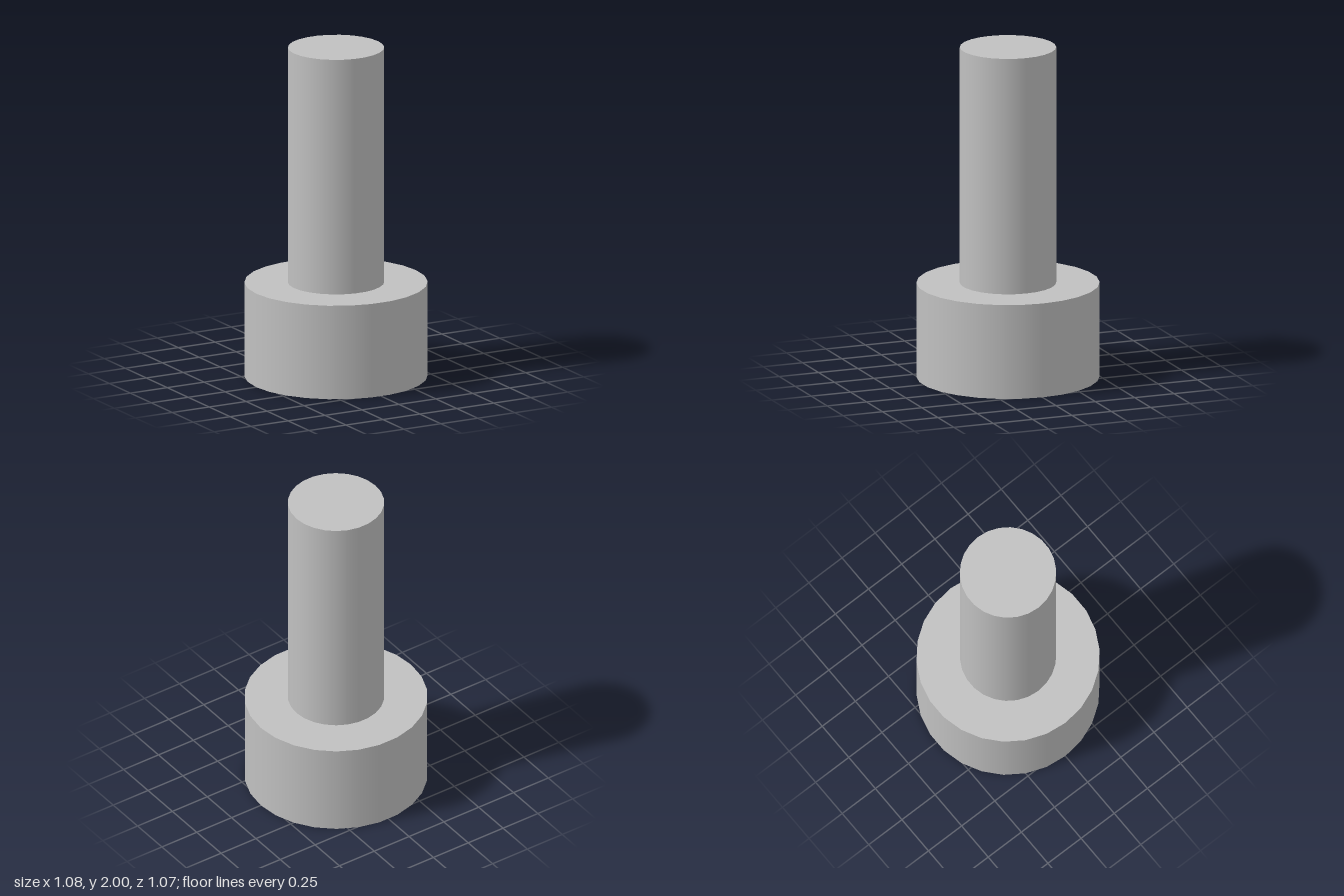
import * as THREE from 'three';

const SIDES = 26;
const HEAD_R = 0.54, HEAD_H = 0.57;
const SHAFT_R = 0.284, TOP = 2;
const HEX_R = 0.248, HEX_DEPTH = 0.32;

// Open tube wall standing between two heights, with a corner on +x
function wall(radius, y0, y1, sides) {
  const g = new THREE.CylinderGeometry(radius, radius, y1 - y0, sides, 1, true, Math.PI / 2);
  return g.translate(0, (y0 + y1) / 2, 0);
}

// Regular polygon with a corner on +x
function polygon(radius, sides) {
  return Array.from({ length: sides }, (_, i) => {
    const a = (i / sides) * Math.PI * 2;
    return new THREE.Vector2(Math.cos(a) * radius, Math.sin(a) * radius);
  });
}

export function createModel() {
  const steel = new THREE.MeshStandardMaterial({ color: 0xc0c0c0 });
  steel.name = 'steel grey';

  const model = new THREE.Group();
  model.name = 'socketHeadScrew';
  const add = (parent, name, geometry) => {
    const mesh = new THREE.Mesh(geometry, steel);
    mesh.name = name;
    parent.add(mesh);
  };

  // Shaft
  const shaft = new THREE.Group();
  shaft.name = 'shaft';
  add(shaft, 'shaftWall', wall(SHAFT_R, HEAD_H, TOP, SIDES));
  add(shaft, 'shaftEnd', new THREE.CircleGeometry(SHAFT_R, SIDES).rotateX(-Math.PI / 2).translate(0, TOP, 0));

  // Head: side wall, shoulder around the shaft, underside with a hexagonal opening
  const head = new THREE.Group();
  head.name = 'head';
  add(head, 'headWall', wall(HEAD_R, 0, HEAD_H, SIDES));
  add(head, 'shoulder', new THREE.RingGeometry(SHAFT_R, HEAD_R, SIDES).rotateX(-Math.PI / 2).translate(0, HEAD_H, 0));
  const underside = new THREE.Shape(polygon(HEAD_R, SIDES));
  underside.holes.push(new THREE.Path(polygon(HEX_R, 6)));
  add(head, 'underside', new THREE.ShapeGeometry(underside).rotateX(Math.PI / 2));

  // Hex socket: mirrored so the walls face inward, with flat normals
  const socket = new THREE.Group();
  socket.name = 'hexSocket';
  const socketWalls = wall(HEX_R, 0, HEX_DEPTH, 6).scale(-1, 1, 1).toNonIndexed();
  socketWalls.computeVertexNormals();
  add(socket, 'socketWalls', socketWalls);
  add(socket, 'socketFloor', new THREE.CircleGeometry(HEX_R, 6).rotateX(Math.PI / 2).translate(0, HEX_DEPTH, 0));

  model.add(shaft, head, socket);
  return model;
}
